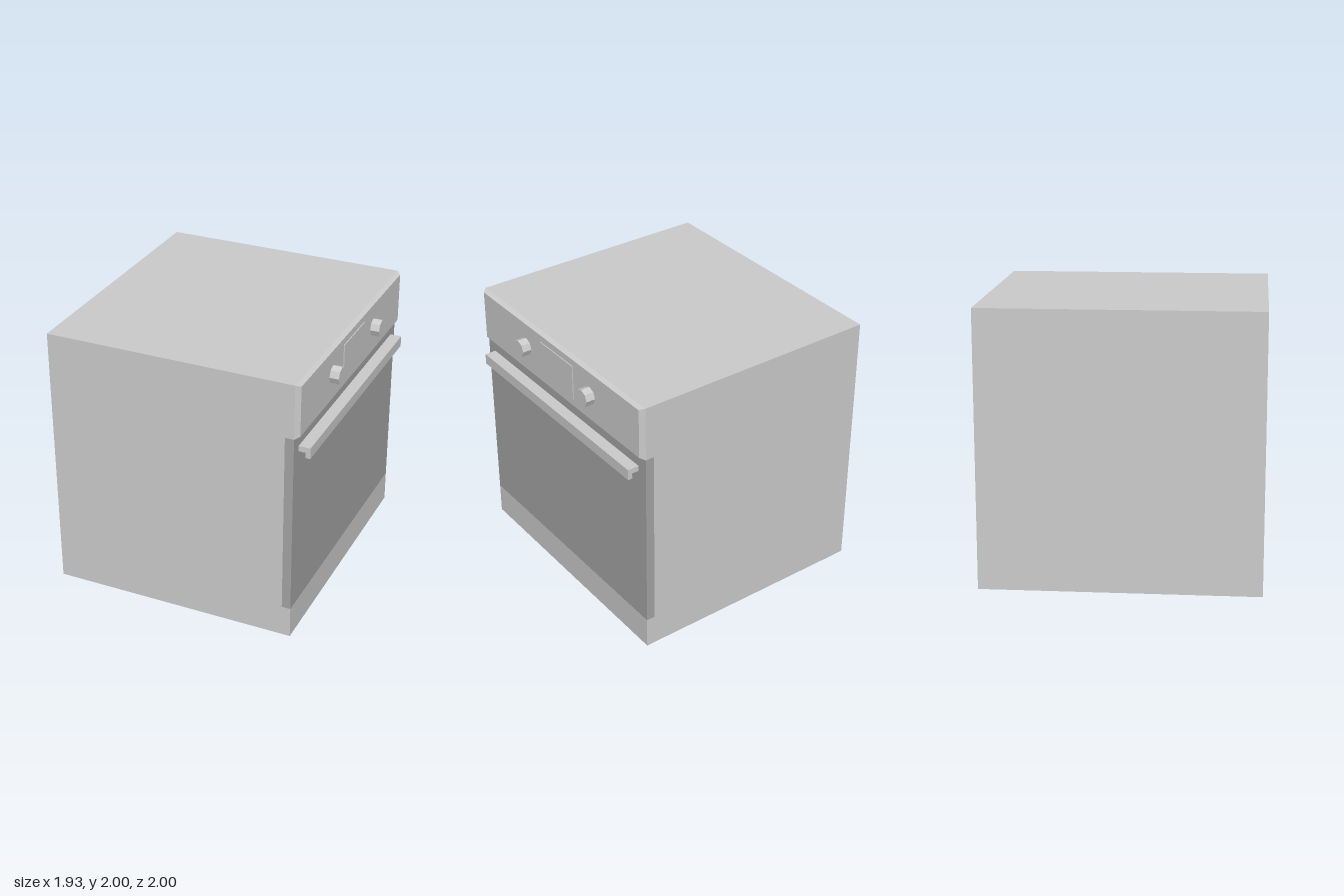
import * as THREE from 'three';

const grey = new THREE.MeshStandardMaterial({ color: 0xcccccc, flatShading: true });
const dark = new THREE.MeshStandardMaterial({ color: 0xa4a4a4, flatShading: true });

const BACK = -0.97, FRONT = 0.865, PANEL = 0.897;

export function createModel() {
  const group = new THREE.Group();

  const add = (name, geometry, material = grey) => {
    const mesh = new THREE.Mesh(geometry, material);
    mesh.name = name;
    group.add(mesh);
    return mesh;
  };

  // Box given by its x and y ranges, centred on z
  const block = (x0, x1, y0, y1, depth) =>
    new THREE.BoxGeometry(x1 - x0, y1 - y0, depth)
      .translate((x0 + x1) / 2, (y0 + y1) / 2, 0);

  // Side profile in x and y, swept along z
  const sweep = (points, depth) =>
    new THREE.ExtrudeGeometry(
      new THREE.Shape(points.map(([x, y]) => new THREE.Vector2(x, y))),
      { depth, bevelEnabled: false }
    ).translate(0, 0, -depth / 2);

  // Cabinet with a recess that takes the door
  add('cabinet', sweep([
    [BACK, 0], [FRONT, 0], [FRONT, 0.235], [0.8, 0.235],
    [0.8, 1.6], [FRONT, 1.6], [FRONT, 2], [BACK, 2],
  ], 2));

  // Flush door
  add('door', block(0.8, FRONT, 0.235, 1.6, 2), dark);

  // Control panel: a block whose front face is drawn in to form chamfers
  const panel = block(FRONT, PANEL, 1.6, 2, 2);
  const p = panel.attributes.position;
  for (let i = 0; i < p.count; i++) {
    if (p.getX(i) > (FRONT + PANEL) / 2) {
      p.setY(i, p.getY(i) > 1.8 ? 1.985 : 1.615);
      p.setZ(i, Math.sign(p.getZ(i)) * 0.97);
    }
  }
  panel.computeVertexNormals();
  add('controlPanel', panel);

  // Display
  add('display', block(PANEL - 0.01, 0.904, 1.67, 1.935, 0.4));

  // Eight-sided knobs
  for (const side of [1, -1]) {
    const knob = add(side > 0 ? 'leftKnob' : 'rightKnob',
      new THREE.CylinderGeometry(0.065, 0.065, 0.075, 8).rotateZ(-Math.PI / 2));
    knob.position.set(0.9275, 1.808, side * 0.4);
  }

  // L-shaped handle
  add('handle', sweep([
    [FRONT, 1.47], [0.917, 1.47], [0.917, 1.43],
    [0.95, 1.43], [0.95, 1.51], [FRONT, 1.51],
  ], 1.835));

  return group;
}
